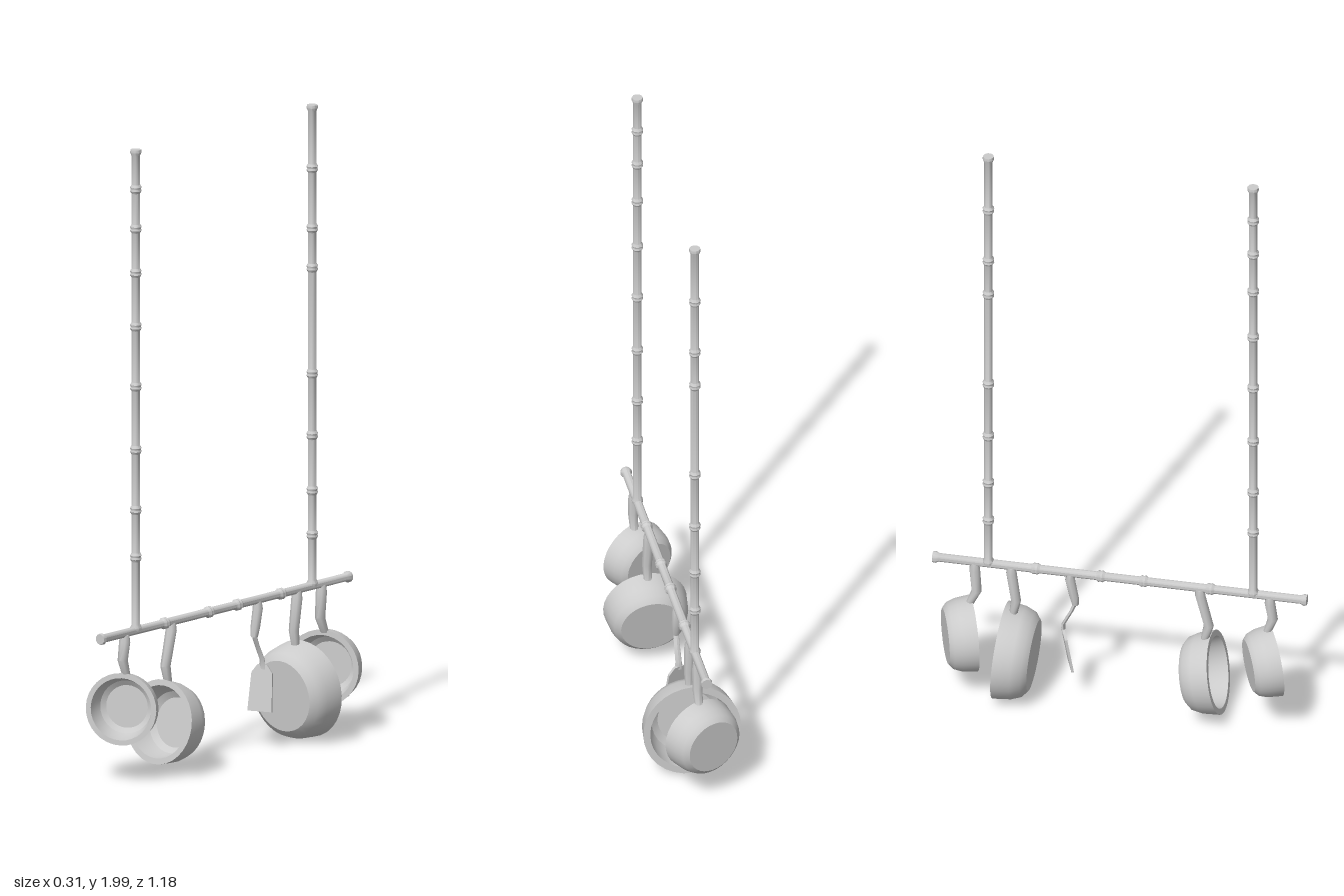
import * as THREE from 'three';
import { toCreasedNormals } from 'three/addons/utils/BufferGeometryUtils.js';

const grey = new THREE.MeshStandardMaterial({ color: 0xcccccc });

function mesh(name, geometry, crease = 0.55) {
  const m = new THREE.Mesh(toCreasedNormals(geometry, crease), grey);
  m.name = name;
  return m;
}

// Jointed cane along +y from a to b, flared at both ends, with a ridged ring at each node
function cane(name, a, b, nodes) {
  const r = 0.0135;
  const pts = [[0, a], [0.017, a], [0.0185, a + 0.009], [r, a + 0.02]];
  for (const n of nodes) {
    pts.push([r, n - 0.014], [0.0185, n - 0.006], [0.0165, n], [0.0185, n + 0.006], [r, n + 0.014]);
  }
  pts.push([r, b - 0.02], [0.0185, b - 0.009], [0.017, b], [0, b]);
  return mesh(name, new THREE.LatheGeometry(pts.map(p => new THREE.Vector2(...p)), 10), 0.8);
}

// Bent, tapering grip: each section is [y, z, half width, half thickness], from the top down
function grip(name, sections) {
  const n = sections.length - 1;
  const g = new THREE.CylinderGeometry(1, 1, 1, 8, n);
  const p = g.attributes.position;
  for (let i = 0; i < p.count; i++) {
    const [y, z, w, t] = sections[Math.round((0.5 - p.getY(i)) * n)];
    p.setXYZ(i, p.getX(i) * w, y, z + p.getZ(i) * t);
  }
  return mesh(name, g, 0.9);
}

// Thick-walled pan opening toward its local +z; R is the rim radius, depth the full depth
function pan(R, depth) {
  const profile = [
    [0, -1], [0.73, -1], [0.87, -0.84], [0.95, -0.55], [1, 0],
    [0.86, 0], [0.81, -0.4], [0.73, -0.68], [0.59, -0.82], [0, -0.82],
  ].map(([r, d]) => new THREE.Vector2(r * R, d * depth));
  return mesh('panBody', new THREE.LatheGeometry(profile, 32).rotateX(Math.PI / 2));
}

export function createModel() {
  const model = new THREE.Group();
  const barY = 0.478;

  // Hanging poles and the crossbar
  const frontPole = cane('frontPole', barY, 2, [0.71, 0.86, 1.05, 1.25, 1.44, 1.61, 1.75, 1.875]);
  frontPole.position.z = 0.42;
  const backPole = cane('backPole', barY, 2, [0.64, 0.78, 0.955, 1.15, 1.485, 1.61, 1.80]);
  backPole.position.z = -0.415;
  const bar = cane('crossbar', -0.59, 0.59, [-0.265, -0.06, 0.075, 0.285]);
  bar.rotation.x = Math.PI / 2;
  bar.position.y = barY;
  model.add(frontPole, backPole, bar);

  // Pans: rim centre, rim radius, depth, yaw, upward tilt, and the z of the grip's top, bend and foot
  const pans = [
    { name: 'smallFrontPan', y: 0.24, z: 0.49, R: 0.113, depth: 0.085, yaw: 0.44, tilt: 0.08, grip: [0.473, 0.482, 0.465] },
    { name: 'mediumFrontPan', y: 0.17, z: 0.31, R: 0.132, depth: 0.1, yaw: 0, tilt: 0.19, grip: [0.253, 0.28, 0.268] },
    { name: 'largeBackPan', y: 0.16, z: -0.376, R: 0.154, depth: 0.105, yaw: Math.PI, tilt: 0.07, grip: [-0.342, -0.328, -0.336] },
    { name: 'smallBackPan', y: 0.21, z: -0.462, R: 0.12, depth: 0.088, yaw: 0.36, tilt: 0.03, grip: [-0.458, -0.452, -0.474] },
  ];
  for (const d of pans) {
    const group = new THREE.Group();
    group.name = d.name;
    const body = pan(d.R, d.depth);
    body.position.set(0, d.y, d.z);
    body.rotation.set(-d.tilt, d.yaw, 0, 'YXZ');
    const foot = d.y + d.R * 0.92;
    const [top, bend, end] = d.grip;
    group.add(body, grip('panHandle', [
      [0.474, top, 0.015, 0.014], [0.45, top, 0.018, 0.017],
      [foot + 0.05, bend, 0.016, 0.016], [foot, end, 0.013, 0.013],
    ]));
    model.add(group);
  }

  // Spatula: stout grip, thin cranked neck and a flat blade
  const spatula = new THREE.Group();
  spatula.name = 'spatula';
  const s = new THREE.Shape();
  s.moveTo(-0.04, -0.145);
  s.lineTo(0.04, -0.145);
  s.lineTo(0.034, -0.025);
  s.lineTo(0.016, 0);
  s.lineTo(-0.016, 0);
  s.lineTo(-0.034, -0.025);
  const blade = mesh('spatulaBlade', new THREE.ExtrudeGeometry(s, { depth: 0.008, bevelEnabled: false }).translate(0, 0, -0.004));
  blade.position.set(0, 0.268, -0.18);
  blade.rotation.set(-0.17, 0.36, 0, 'YXZ');
  spatula.add(
    grip('spatulaHandle', [
      [0.474, -0.155, 0.014, 0.013], [0.45, -0.157, 0.016, 0.016],
      [0.39, -0.145, 0.015, 0.015], [0.362, -0.141, 0.011, 0.011],
    ]),
    grip('spatulaNeck', [
      [0.37, -0.139, 0.009, 0.007], [0.335, -0.153, 0.009, 0.006],
      [0.285, -0.178, 0.01, 0.006], [0.255, -0.178, 0.012, 0.005],
    ]),
    blade,
  );
  model.add(spatula);
  return model;
}
